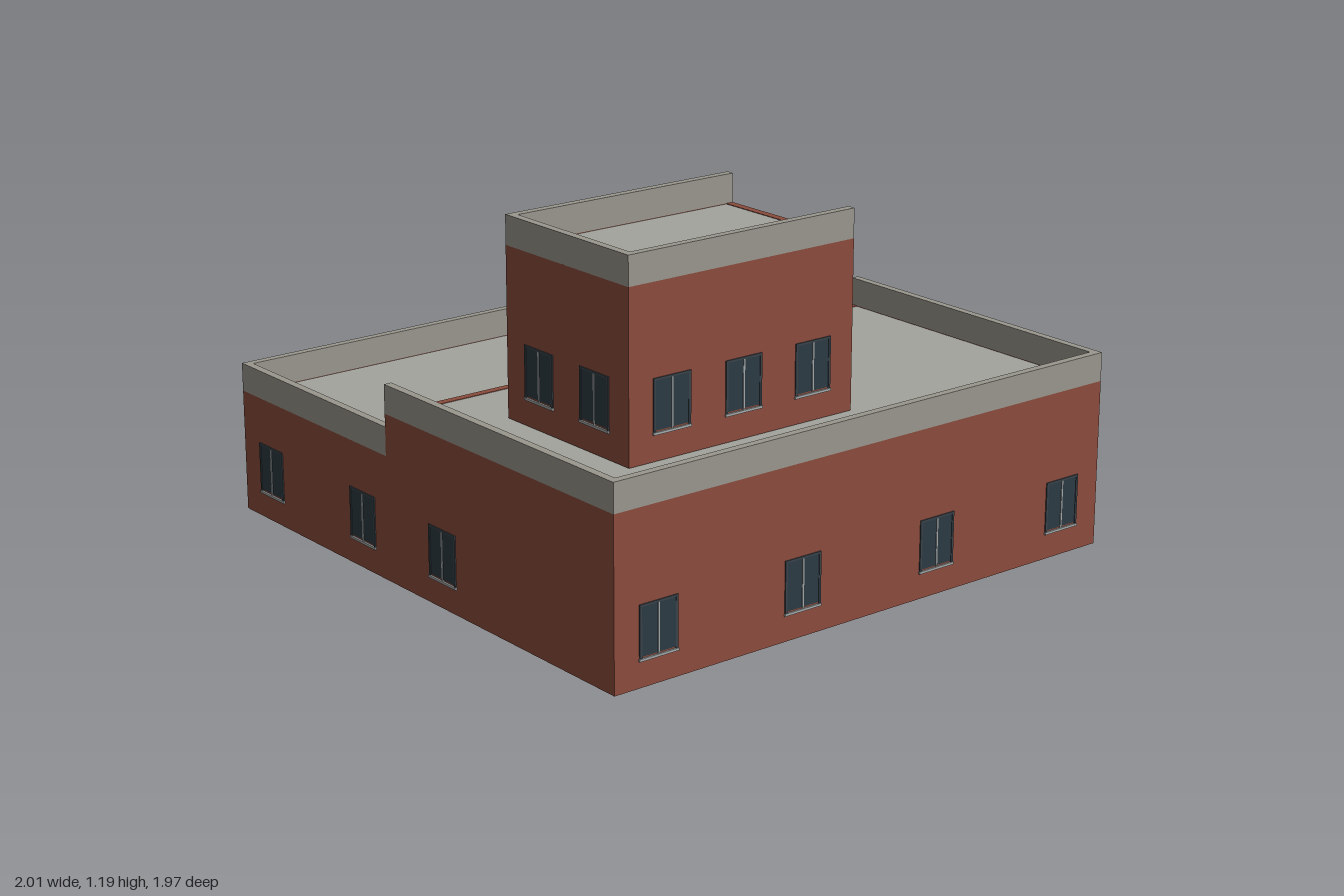
import * as THREE from 'three';

const mat = (color) => new THREE.MeshStandardMaterial({ color });
const brick = mat(0x8b4c3d), concrete = mat(0x99968d), roofing = mat(0xa3a49e);
const glass = mat(0x2c3a43), frameDark = mat(0x39434a), trim = mat(0xa4a8a8);
const doorRed = mat(0x861c1c), lintelDark = mat(0x4a3530);

const T = 0.027;        // wall thickness
const PARAPET = 0.095;  // parapet height
const UNIT = new THREE.BoxGeometry(1, 1, 1);

// Box given by its lower and upper corners
function box(parent, name, material, x0, x1, y0, y1, z0, z1) {
  const m = new THREE.Mesh(UNIT, material);
  m.name = name;
  m.scale.set(x1 - x0, y1 - y0, z1 - z0);
  m.position.set((x0 + x1) / 2, (y0 + y1) / 2, (z0 + z1) / 2);
  parent.add(m);
  return m;
}

// Ring of four walls; each side can be left out
function ring(parent, name, material, b, y0, y1, sides = 'front back left right') {
  const has = (s) => sides.split(' ').includes(s);
  const zBack = has('back') ? b.z0 + T : b.z0;
  const zFront = has('front') ? b.z1 - T : b.z1;
  if (has('front')) box(parent, name + 'Front', material, b.x0, b.x1, y0, y1, b.z1 - T, b.z1);
  if (has('back')) box(parent, name + 'Back', material, b.x0, b.x1, y0, y1, b.z0, b.z0 + T);
  if (has('left')) box(parent, name + 'Left', material, b.x1 - T, b.x1, y0, y1, zBack, zFront);
  if (has('right')) box(parent, name + 'Right', material, b.x0, b.x0 + T, y0, y1, zBack, zFront);
}

// Hollow block, open below, with a flat roof and a parapet on the listed sides
function block(name, b, walls, parapets) {
  const g = new THREE.Group();
  g.name = name;
  ring(g, 'wall', brick, b, b.y0, b.y1, walls);
  const xEnd = walls.includes('left') ? b.x1 - T : b.x1;
  box(g, 'roof', roofing, b.x0 + T, xEnd, b.y1 - 0.02, b.y1 - 0.002, b.z0 + T, b.z1 - T);
  ring(g, 'parapet', concrete, b, b.y1, b.y1 + PARAPET, parapets);
  return g;
}

// Places an opening in a wall: origin on the wall's middle plane, outside towards +z
function place(parent, g, side, b, along) {
  const h = T / 2;
  if (side === 'front') g.position.set(along, b.y0, b.z1 - h);
  if (side === 'back') g.position.set(along, b.y0, b.z0 + h);
  if (side === 'left') g.position.set(b.x1 - h, b.y0, along);
  if (side === 'right') g.position.set(b.x0 + h, b.y0, along);
  g.rotation.y = { front: 0, back: Math.PI, left: Math.PI / 2, right: -Math.PI / 2 }[side];
  parent.add(g);
}

function windowUnit() {
  const g = new THREE.Group();
  g.name = 'window';
  const w = 0.07, y0 = 0.09, y1 = 0.257, d = T / 2 + 0.002;
  box(g, 'glass', glass, -w + 0.006, w - 0.006, y0 + 0.006, y1 - 0.006, -d, d);
  for (const s of [-1, 1]) {
    const x = s * (w - 0.004);
    box(g, 'frameSide', frameDark, x - 0.004, x + 0.004, y0, y1, -d - 0.002, d + 0.002);
  }
  box(g, 'frameTop', frameDark, -w, w, y1 - 0.007, y1, -d - 0.002, d + 0.002);
  box(g, 'mullion', trim, -0.003, 0.003, y0, y1 - 0.007, -d - 0.002, d + 0.002);
  box(g, 'sill', trim, -w - 0.002, w + 0.002, y0 - 0.007, y0 + 0.001, -d, d + 0.004);
  return g;
}

function garageDoor() {
  const g = new THREE.Group();
  g.name = 'garageDoor';
  const d = T / 2 + 0.002;
  box(g, 'doorPanel', doorRed, -0.195, 0.195, 0, 0.392, -d, d);
  box(g, 'lintel', lintelDark, -0.205, 0.205, 0.392, 0.412, -d, d + 0.004);
  return g;
}

function entrance() {
  const g = new THREE.Group();
  g.name = 'entrance';
  const w = 0.118, h = 0.287, d = T / 2 + 0.002;
  box(g, 'glass', glass, -w, w, 0, h, -d, d);
  for (const x of [-w + 0.004, w - 0.004])
    box(g, 'frameSide', frameDark, x - 0.004, x + 0.004, 0, h, -d - 0.002, d + 0.002);
  box(g, 'frameTop', frameDark, -w, w, h - 0.008, h, -d - 0.002, d + 0.002);
  box(g, 'transom', trim, -w + 0.008, w - 0.008, 0.218, 0.224, -d - 0.002, d + 0.002);
  box(g, 'doorMullion', trim, -0.003, 0.003, 0, 0.218, -d - 0.002, d + 0.002);
  return g;
}

export function createModel() {
  const model = new THREE.Group();
  model.name = 'building';

  const low = { x0: -0.997, x1: -0.15, y0: 0, y1: 0.412, z0: -0.98, z1: 0.98 };
  const main = { x0: -0.15, x1: 0.997, y0: 0, y1: 0.55, z0: -0.98, z1: 0.98 };
  const tower = { x0: 0.122, x1: 0.72, y0: 0.55, y1: 1.098, z0: -0.16, z1: 0.708 };

  const lowWing = block('lowWing', low, 'front back right', 'front right');
  const mainHall = block('mainHall', main, 'front back left right', 'front back left');
  const upperRoom = block('upperRoom', tower, 'front back left right', 'front left right');
  model.add(lowWing, mainHall, upperRoom);

  // Side windows, including those in the dividing wall
  for (const z of [-0.82, -0.273, 0.273, 0.82]) {
    place(lowWing, windowUnit(), 'right', low, z);
    place(mainHall, windowUnit(), 'left', main, z);
    place(mainHall, windowUnit(), 'right', main, z);
  }

  // Front and back windows of the low wing, and the entrance
  for (const x of [-0.832, -0.29])
    for (const side of ['front', 'back']) place(lowWing, windowUnit(), side, low, x);
  place(lowWing, entrance(), 'back', low, -0.562);

  // Main hall front window and vehicle doors at the back
  place(mainHall, windowUnit(), 'front', main, 0.148);
  for (const x of [0.148, 0.695]) place(mainHall, garageDoor(), 'back', main, x);

  // Upper room windows
  for (const x of [0.284, 0.557])
    for (const side of ['front', 'back']) place(upperRoom, windowUnit(), side, tower, x);
  for (const z of [0.0, 0.274, 0.548])
    for (const side of ['left', 'right']) place(upperRoom, windowUnit(), side, tower, z);

  return model;
}
